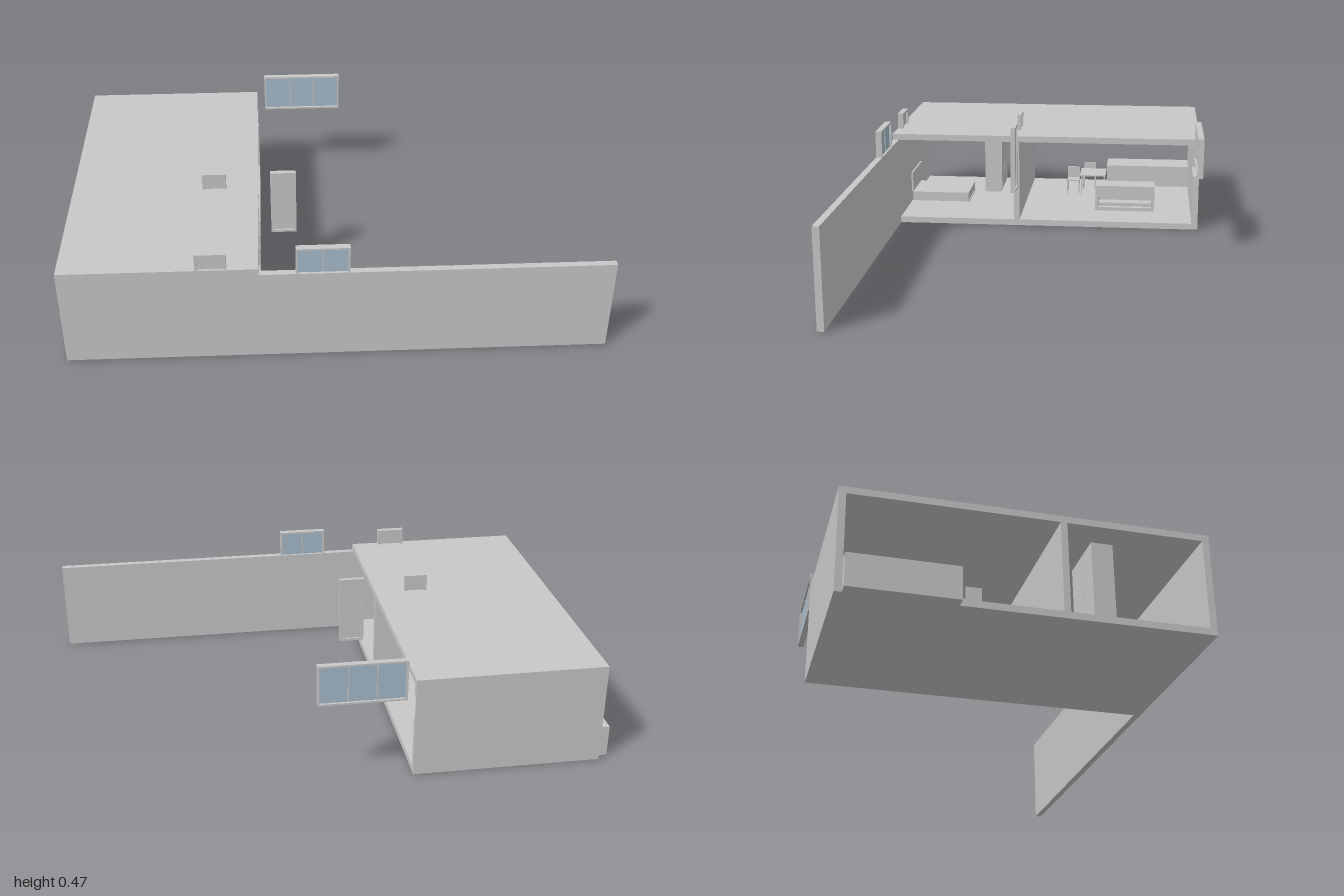
import * as THREE from 'three';

const grey = new THREE.MeshStandardMaterial({ color: 0xc8c8c8 });
const glass = new THREE.MeshStandardMaterial({ color: 0xa8bece, side: THREE.DoubleSide });

// Box given by its lower and upper limits on each axis
function box(parent, name, x0, x1, y0, y1, z0, z1, material = grey) {
  const mesh = new THREE.Mesh(new THREE.BoxGeometry(x1 - x0, y1 - y0, z1 - z0), material);
  mesh.position.set((x0 + x1) / 2, (y0 + y1) / 2, (z0 + z1) / 2);
  mesh.name = name;
  parent.add(mesh);
  return mesh;
}

function part(parent, name) {
  const g = new THREE.Group();
  g.name = name;
  parent.add(g);
  return g;
}

// Rectangular frame with evenly divided thin panes
function framed(parent, name, x0, x1, y0, y1, z0, z1, panes, fill, f = 0.007) {
  const g = part(parent, name);
  const zm = (z0 + z1) / 2;
  box(g, 'sill', x0, x1, y0, y0 + f, z0, z1);
  box(g, 'head', x0, x1, y1 - f, y1, z0, z1);
  box(g, 'leftJamb', x1 - f, x1, y0 + f, y1 - f, z0, z1);
  box(g, 'rightJamb', x0, x0 + f, y0 + f, y1 - f, z0, z1);
  const w = (x1 - x0 - 2 * f) / panes;
  for (let i = 0; i < panes; i++) {
    const px = x0 + f + i * w;
    box(g, 'pane', px, px + w, y0 + f, y1 - f, zm - 0.003, zm + 0.003, fill);
    if (i > 0) box(g, 'mullion', px - 0.002, px + 0.002, y0 + f, y1 - f, zm - 0.006, zm + 0.006);
  }
  return g;
}

// Four thin legs under a rectangular top
function legs(parent, x0, x1, z0, z1, y0, y1, t = 0.004) {
  for (const x of [x0, x1 - t]) {
    for (const z of [z0, z1 - t]) box(parent, 'leg', x, x + t, y0, y1, z, z + t);
  }
}

function chair(parent, x0, z0) {
  const g = part(parent, 'chair');
  const w = 0.055, y = 0.025;
  legs(g, x0, x0 + w, z0, z0 + w, y, 0.084);
  box(g, 'seat', x0, x0 + w, 0.084, 0.09, z0, z0 + w);
  box(g, 'backrest', x0, x0 + 0.006, 0.09, 0.14, z0, z0 + w);
}

export function createModel() {
  const model = new THREE.Group();
  model.name = 'house';
  const L = -0.96, R = -0.26, F = 0.025, C = 0.36;

  // Shell, open at both ends
  box(model, 'floor', L, R, 0, F, -0.64, 0.615);
  box(model, 'roof', L, R, C, 0.385, -0.64, 0.64);
  box(model, 'frontWall', L, 1, 0, C, 0.615, 0.64);
  box(model, 'partition', L, R, F, C, 0.107, 0.13);

  // Back wall with a shallow recess on the inside
  const back = part(model, 'backWall');
  box(back, 'outerSkin', L, R, F, C, -0.64, -0.63);
  box(back, 'lowerSkin', L, R, F, 0.23, -0.63, -0.615);
  box(back, 'upperSkin', L, R, 0.31, C, -0.63, -0.615);
  box(back, 'middleSkin', L, -0.42, 0.23, 0.31, -0.63, -0.615);

  // Raised windows and doors
  framed(model, 'backWindow', -0.23, 0.09, 0.31, 0.465, -0.64, -0.617, 3, glass);
  framed(model, 'frontWindow', -0.13, 0.06, 0.31, 0.465, 0.6155, 0.6395, 2, glass);
  framed(model, 'frontDoor', -0.48, -0.37, 0.18, 0.45, 0.616, 0.639, 1, grey, 0.01);
  framed(model, 'outerDoor', -0.213, -0.115, 0.18, 0.45, 0.108, 0.127, 1, grey, 0.01);
  framed(model, 'innerDoor', -0.47, -0.38, 0.045, 0.45, 0.11, 0.127, 1, grey, 0.01);

  // Low counter reaching past the open end
  box(model, 'counter', -1, -0.86, 0, 0.12, -0.615, -0.24);

  // Cabinet with an open niche
  const cabinet = part(model, 'cabinet');
  const a = -0.52, b = -0.43;
  box(cabinet, 'backPanel', a, a + 0.02, F, 0.135, -0.46, -0.205);
  box(cabinet, 'top', a + 0.02, b, 0.085, 0.135, -0.46, -0.205);
  box(cabinet, 'plinth', a + 0.02, b, F, 0.04, -0.46, -0.205);
  box(cabinet, 'leftSide', a + 0.02, b, 0.04, 0.085, -0.46, -0.447);
  box(cabinet, 'rightSide', a + 0.02, b, 0.04, 0.085, -0.22, -0.205);
  box(cabinet, 'shelf', a + 0.02, b - 0.02, 0.04, 0.055, -0.447, -0.22);

  // Table and chairs
  const table = part(model, 'table');
  box(table, 'tableTop', -0.79, -0.66, 0.117, 0.122, -0.24, -0.125);
  legs(table, -0.785, -0.665, -0.235, -0.13, F, 0.117);
  chair(model, -0.84, -0.19);
  chair(model, -0.75, -0.12);

  // Bed, headboard and wardrobe in the front room
  const bed = part(model, 'bed');
  box(bed, 'mattress', -0.72, -0.52, 0.03, 0.065, 0.362, 0.612);
  box(bed, 'base', -0.72, -0.52, F, 0.03, 0.358, 0.612);
  box(bed, 'headboard', -0.73, -0.51, 0.07, 0.155, 0.608, 0.615);
  const wardrobe = part(model, 'wardrobe');
  box(wardrobe, 'body', -0.9, -0.7, F, 0.335, 0.238, 0.31);
  for (const x of [-0.9, -0.799]) box(wardrobe, 'door', x, x + 0.099, 0.04, 0.335, 0.233, 0.238);

  return model;
}
